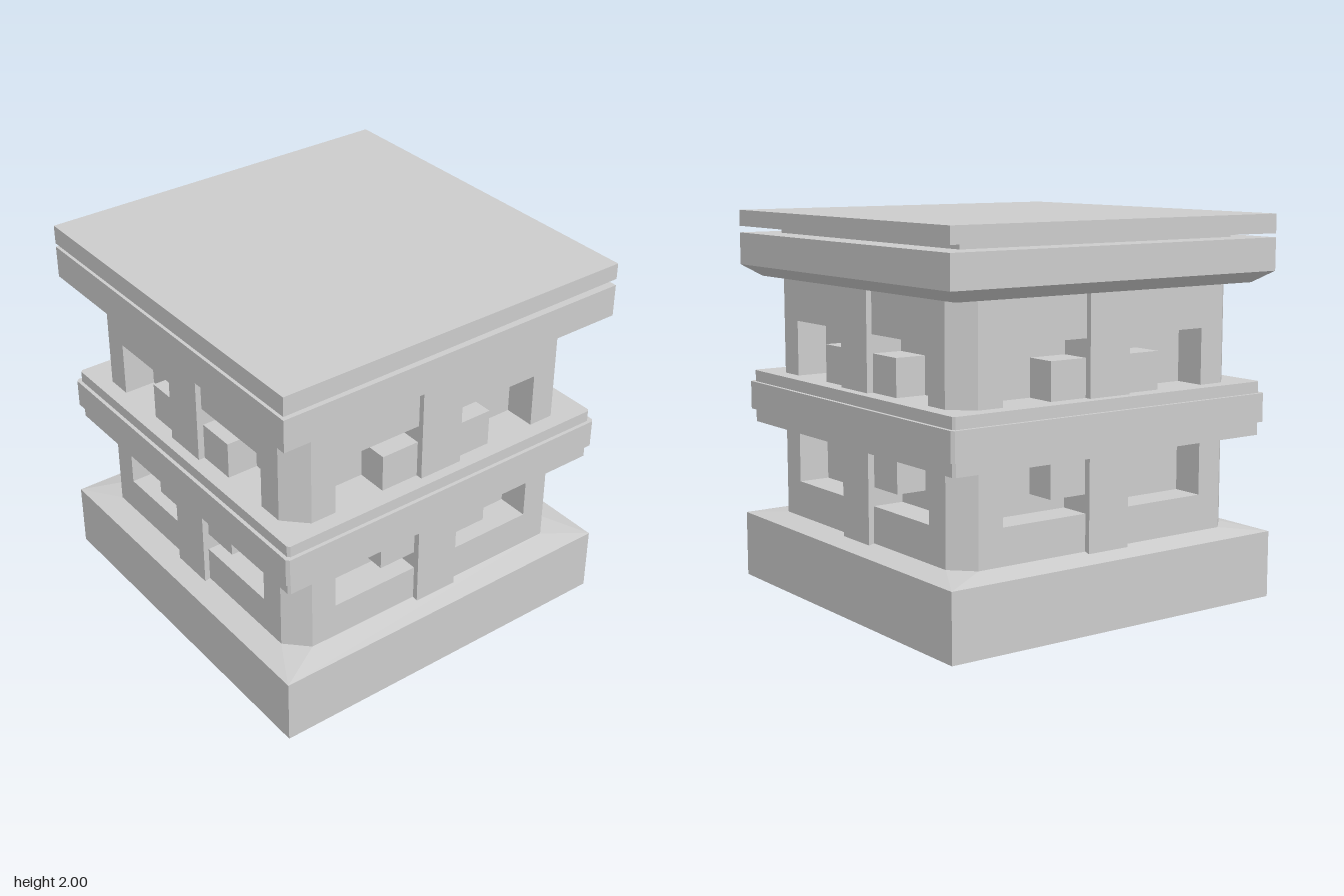
import * as THREE from 'three';

const mat = new THREE.MeshStandardMaterial({ color: 0xcccccc, flatShading: true });

function add(parent, name, geo, x = 0, y = 0, z = 0) {
  const m = new THREE.Mesh(geo, mat);
  m.name = name;
  m.position.set(x, y, z);
  parent.add(m);
  return m;
}

// Box given by its lower and upper y
const box = (parent, name, w, y0, y1, d, x = 0, z = 0) =>
  add(parent, name, new THREE.BoxGeometry(w, y1 - y0, d), x, (y0 + y1) / 2, z);

// Square rings with cut corners, [half width, corner cut, y], joined bottom to top and capped
function loft(rings) {
  const pts = rings.map(([h, c, y]) => {
    const k = h - c;
    return [[k, h], [h, k], [h, -k], [k, -h], [-k, -h], [-h, -k], [-h, k], [-k, h]]
      .map(([x, z]) => [x, y, z]);
  });
  const pos = [];
  const tri = (a, b, c) => pos.push(...a, ...b, ...c);
  for (let r = 0; r < pts.length - 1; r++) {
    for (let i = 0; i < 8; i++) {
      const j = (i + 1) % 8, lo = pts[r], hi = pts[r + 1];
      if (rings[r][1] > 0 || i % 2) tri(lo[i], lo[j], hi[j]);
      if (rings[r + 1][1] > 0 || i % 2) tri(lo[i], hi[j], hi[i]);
    }
  }
  const bottom = pts[0], top = pts[pts.length - 1];
  for (let i = 1; i < 7; i++) {
    tri(top[0], top[i], top[i + 1]);
    tri(bottom[0], bottom[i + 1], bottom[i]);
  }
  const g = new THREE.BufferGeometry();
  g.setAttribute('position', new THREE.Float32BufferAttribute(pos, 3));
  g.computeVertexNormals();
  return g;
}

const polygon = (p) => new THREE.Shape(p.map(([x, y]) => new THREE.Vector2(x, y)));
const extrude = (shape, depth) => new THREE.ExtrudeGeometry(shape, { depth, bevelEnabled: false });

export function createModel() {
  const model = new THREE.Group();
  model.name = 'pedestalBlock';

  const INNER = 0.7, FACE = 0.87, CORNER = 0.76, Y0 = 0.37, Y1 = 1.655;

  // Plinth with a shallow slope up to the body
  add(model, 'base', loft([[1, 0, 0], [1, 0, 0.35], [FACE, FACE - CORNER, 0.38]]));

  // Recessed core behind the windows
  box(model, 'core', 2 * INNER, Y0, Y1, 2 * INNER);

  // Framed wall with a rectangular window
  const wallShape = polygon([[-CORNER, Y0], [CORNER, Y0], [CORNER, Y1], [-CORNER, Y1]]);
  wallShape.holes.push(polygon([[-0.62, 0.57], [-0.62, 1.43], [0.62, 1.43], [0.62, 0.57]]));
  const wallGeo = extrude(wallShape, FACE - INNER);

  // Cut corner filling the gap between two walls
  const cornerGeo = extrude(polygon([[CORNER, -FACE], [FACE, -CORNER], [CORNER, -CORNER]]), Y1 - Y0);
  cornerGeo.rotateX(-Math.PI / 2);

  for (let i = 0; i < 4; i++) {
    const side = new THREE.Group();
    side.name = 'side' + (i + 1);
    side.rotation.y = i * Math.PI / 2;
    add(side, 'windowFrame', wallGeo, 0, 0, INNER);
    add(side, 'cornerPost', cornerGeo, 0, Y0, 0);
    box(side, 'centreBlock', 0.67, 0.665, 1.335, 0.18, 0, 0.775);
    box(side, 'verticalBar', 0.245, Y0, Y1, 0.22, 0, 0.79);
    model.add(side);
  }

  // Stepped belt around the middle
  add(model, 'belt', loft([[0.955, 0.012, 0.86], [0.955, 0.012, 1.14]]));
  add(model, 'beltRidge', loft([[0.975, 0.015, 0.93], [0.975, 0.015, 1.08]]));

  // Cap with a bevelled underside, and the neck that carries the lid
  add(model, 'cap', loft([[0.915, 0, 1.65], [1, 0, 1.71], [1, 0, 1.88]]));
  box(model, 'neck', 1.675, 1.87, 1.92, 1.675);

  // Lid, slightly thicker on one side
  add(model, 'lid', extrude(polygon([[-1, 1.9], [1, 1.915], [1, 2], [-1, 2]]), 2), 0, 0, -1);

  return model;
}
